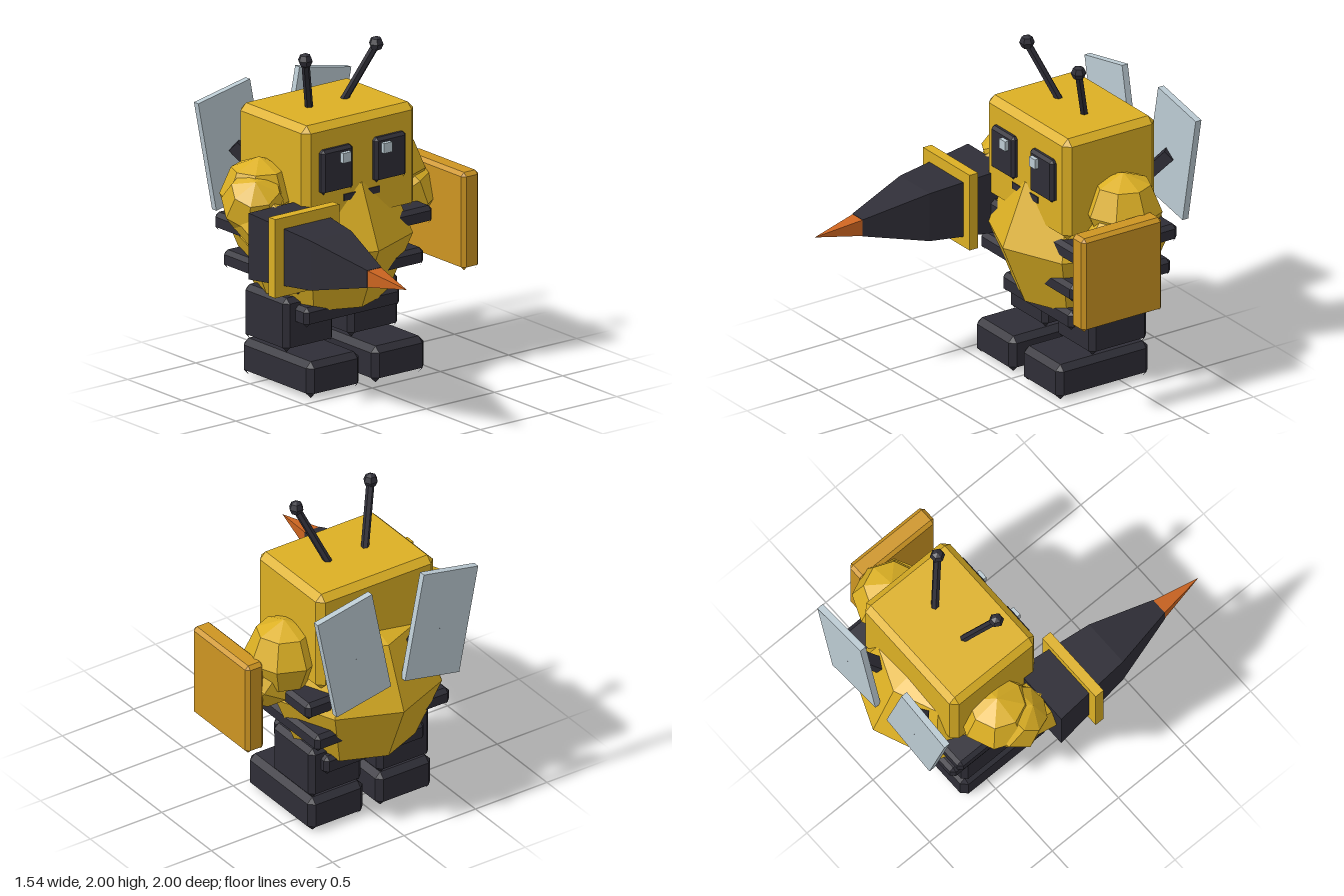
import * as THREE from 'three';

const material = (name, color) => {
  const m = new THREE.MeshStandardMaterial({ color, flatShading: true, side: THREE.DoubleSide });
  m.name = name;
  return m;
};

// Chamfered box with an open underside: quads, edge strips and corner triangles
function bevelBox(w, h, d, b) {
  const half = [w / 2, h / 2, d / 2];
  const pos = [];
  const point = (s, axis) => new THREE.Vector3(...s.map((v, i) => v * (half[i] - (i === axis ? 0 : b))));
  const tri = (p, q, r) => {
    const n = q.clone().sub(p).cross(r.clone().sub(p));
    const out = p.clone().add(q).add(r);
    (n.dot(out) < 0 ? [p, r, q] : [p, q, r]).forEach(v => pos.push(v.x, v.y, v.z));
  };
  const quad = (p, q, r, s) => { tri(p, q, r); tri(p, r, s); };
  const signs = (a, va, c, vc, e, ve) => { const s = []; s[a] = va; s[c] = vc; s[e] = ve; return s; };
  for (let a = 0; a < 3; a++) {
    const c = (a + 1) % 3, e = (a + 2) % 3;
    for (const u of [-1, 1]) {
      if (!(a === 1 && u < 0)) {
        quad(...[[-1, -1], [1, -1], [1, 1], [-1, 1]].map(([v, t]) => point(signs(a, u, c, v, e, t), a)));
      }
      for (const v of [-1, 1]) {
        // strip along axis e, between the faces of axes a and c
        if ((a === 1 && u < 0) || (c === 1 && v < 0)) continue;
        const lo = signs(a, u, c, v, e, -1), hi = signs(a, u, c, v, e, 1);
        quad(point(lo, a), point(hi, a), point(hi, c), point(lo, c));
      }
    }
  }
  for (const x of [-1, 1]) for (const y of [-1, 1]) for (const z of [-1, 1]) {
    tri(point([x, y, z], 0), point([x, y, z], 1), point([x, y, z], 2));
  }
  const g = new THREE.BufferGeometry();
  g.setAttribute('position', new THREE.Float32BufferAttribute(pos, 3));
  g.computeVertexNormals();
  return g;
}

export function createModel() {
  const model = new THREE.Group();
  model.name = 'armouredBee';
  const yellow = material('yellow', 0xdcb024);
  const amber = material('amber', 0xcd9522);
  const dark = material('charcoal', 0x2f2e37);
  const orange = material('orange', 0xcb6420);
  const pale = material('paleGrey', 0xbccbd3);

  const add = (name, geometry, mat, x = 0, y = 0, z = 0) => {
    const mesh = new THREE.Mesh(geometry, mat);
    mesh.name = name;
    mesh.position.set(x, y, z);
    model.add(mesh);
    return mesh;
  };
  // Chamfered box (or plain box when b = 0) given by its limits
  const block = (name, mat, [x0, x1], [y0, y1], [z0, z1], b) => {
    const size = [x1 - x0, y1 - y0, z1 - z0];
    const g = b ? bevelBox(...size, b) : new THREE.BoxGeometry(...size);
    return add(name, g, mat, (x0 + x1) / 2, (y0 + y1) / 2, (z0 + z1) / 2);
  };
  // Straight rod between two points
  const rod = (name, mat, from, to, radius, sides) => {
    const a = new THREE.Vector3(...from), b = new THREE.Vector3(...to);
    const dir = b.clone().sub(a);
    const mesh = add(name, new THREE.CylinderGeometry(radius, radius, dir.length(), sides), mat);
    mesh.position.copy(a).add(b).multiplyScalar(0.5);
    mesh.quaternion.setFromUnitVectors(new THREE.Vector3(0, 1, 0), dir.normalize());
  };
  // Square tapering section along z, from half-width h0 at z0 to h1 at z1
  const taper = (name, mat, h0, z0, h1, z1) => {
    const g = new THREE.CylinderGeometry(h1 * Math.SQRT2, h0 * Math.SQRT2, z1 - z0, 4);
    g.rotateY(Math.PI / 4).rotateX(Math.PI / 2);
    add(name, g, mat, -0.54, 0.95, (z0 + z1) / 2);
  };

  // Torso and head
  const profile = [[0, 0.42], [0.375, 0.465], [0.53, 0.84], [0.375, 1.215], [0, 1.37]];
  add('body', new THREE.LatheGeometry(profile.map(p => new THREE.Vector2(...p)), 8), yellow, 0, 0, -0.47);
  block('head', yellow, [-0.41, 0.41], [0.98, 1.62], [-0.74, -0.1], 0.04);
  block('mouth', dark, [-0.13, 0.13], [1.13, 1.17], [-0.2, -0.094], 0);

  // Dark bands and hips
  block('upperStripe', dark, [-0.535, 0.535], [0.86, 0.97], [-0.8, -0.1], 0.025);
  block('lowerStripe', dark, [-0.47, 0.47], [0.62, 0.73], [-0.8, -0.1], 0.025);
  block('hips', dark, [-0.35, 0.35], [0.38, 0.5], [-0.72, -0.17], 0.025);

  // Mirrored parts
  for (const s of [-1, 1]) {
    const side = s > 0 ? 'left' : 'right';
    const span = (a, b) => (s > 0 ? [a, b] : [-b, -a]);
    block(side + 'Leg', dark, span(0.055, 0.42), [0.22, 0.545], [-0.67, -0.27], 0.03);
    block(side + 'Foot', dark, span(0.045, 0.43), [0, 0.22], [-0.68, -0.035], 0.035);
    block(side + 'Eye', dark, span(0.08, 0.31), [1.2, 1.47], [-0.16, -0.065], 0.018);
    block(side + 'EyeGlint', pale, span(0.12, 0.18), [1.38, 1.44], [-0.075, -0.04], 0);
    rod(side + 'Antenna', dark, [s * 0.12, 1.59, -0.43], [s * 0.26, 1.95, -0.29], 0.024, 6);
    add(side + 'AntennaTip', new THREE.SphereGeometry(0.045, 6, 4), dark, s * 0.26, 1.955, -0.29);
    rod(side + 'WingMount', dark, [s * 0.18, 1.12, -0.77], [s * 0.3, 1.3, -0.9], 0.05, 4);
    const wing = add(side + 'Wing', new THREE.BoxGeometry(0.387, 0.685, 0.04), pale, s * 0.305, 1.302, -0.92);
    wing.rotation.z = -s * 0.195;
    add(side + 'Shoulder', new THREE.SphereGeometry(0.23, 8, 4), yellow, s * 0.465, s > 0 ? 1.13 : 1.145, -0.46);
  }

  // Forearms
  const leftArm = add('leftForearm', new THREE.SphereGeometry(0.2, 8, 4), yellow, 0.53, 0.99, -0.4);
  leftArm.rotation.set(-0.5, 0, 0.35);
  const rightArm = add('rightForearm', new THREE.SphereGeometry(0.2, 8, 4), yellow, -0.54, 1.12, -0.4);
  rightArm.rotation.set(0.5, 0, 0.35);
  rod('rightWrist', yellow, [-0.53, 1.08, -0.42], [-0.54, 0.97, -0.19], 0.16, 8);

  // Shield on the left arm
  block('shield', amber, [0.645, 0.77], [0.58, 1.17], [-0.53, 0.03], 0.022);

  // Stinger lance on the right arm
  taper('lanceSleeve', dark, 0.2, -0.21, 0.15, 0.3);
  taper('lanceCone', dark, 0.15, 0.3, 0.052, 0.7);
  taper('lanceTip', orange, 0.05, 0.7, 0, 1);
  block('lanceGuard', yellow, [-0.775, -0.305], [0.715, 1.19], [0.02, 0.08], 0);

  return model;
}
